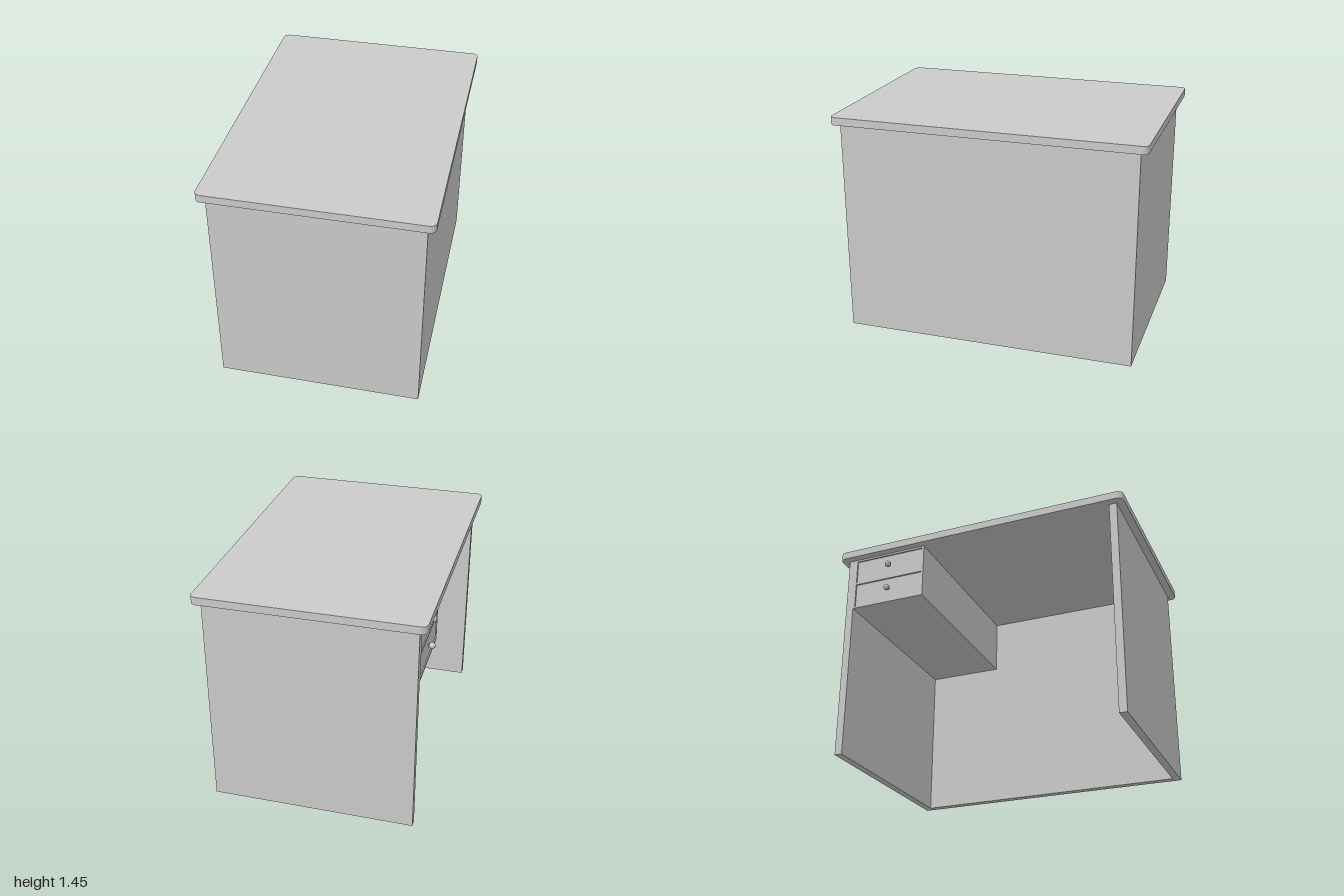
import * as THREE from 'three';

const grey = new THREE.MeshStandardMaterial({ color: 0xcccccc });

function add(group, name, geometry, x = 0, y = 0, z = 0) {
  const mesh = new THREE.Mesh(geometry, grey);
  mesh.name = name;
  mesh.position.set(x, y, z);
  group.add(mesh);
  return mesh;
}

// Box given by its minimum and maximum corners
function addBox(group, name, [x0, y0, z0], [x1, y1, z1]) {
  return add(group, name, new THREE.BoxGeometry(x1 - x0, y1 - y0, z1 - z0),
    (x0 + x1) / 2, (y0 + y1) / 2, (z0 + z1) / 2);
}

// Rectangle with quarter-circle corners
function roundedRect(w, h, r) {
  const s = new THREE.Shape();
  const x = w / 2 - r, y = h / 2 - r;
  s.absarc(x, y, r, 0, Math.PI / 2);
  s.absarc(-x, y, r, Math.PI / 2, Math.PI);
  s.absarc(-x, -y, r, Math.PI, Math.PI * 1.5);
  s.absarc(x, -y, r, Math.PI * 1.5, Math.PI * 2);
  s.closePath();
  return s;
}

export function createModel() {
  const desk = new THREE.Group();
  desk.name = 'desk';

  // Desktop with rounded corners
  const top = new THREE.ExtrudeGeometry(roundedRect(1.4, 2, 0.04),
    { depth: 0.05, bevelEnabled: false, curveSegments: 8 });
  top.rotateX(-Math.PI / 2);
  add(desk, 'desktop', top, 0, 1.4, 0);

  // Two end panels and the modesty panel between them
  for (const side of [-1, 1]) {
    add(desk, side > 0 ? 'frontEndPanel' : 'backEndPanel',
      new THREE.BoxGeometry(1.3, 1.4, 0.05), 0, 0.7, side * 0.925);
  }
  addBox(desk, 'modestyPanel', [0.6, 0, -0.9], [0.65, 1.4, 0.9]);

  // Drawer cabinet hung under the top, opening towards -x
  const cabinet = new THREE.Group();
  cabinet.name = 'drawerCabinet';
  desk.add(cabinet);
  const z0 = -0.9, z1 = -0.385, y0 = 1.03, y1 = 1.4, face = -0.65, t = 0.012;
  const zMid = (z0 + z1) / 2, yMid = (y0 + y1) / 2;
  addBox(cabinet, 'cabinetBody', [face + 0.02, y0, z0], [0.6, y1, z1]);
  addBox(cabinet, 'cabinetFloor', [face, y0, z0], [face + 0.02, y0 + t, z1]);
  addBox(cabinet, 'cabinetRail', [face, yMid - t / 2, z0], [face + 0.02, yMid + t / 2, z1]);
  addBox(cabinet, 'cabinetTopRail', [face, y1 - t, z0], [face + 0.02, y1, z1]);
  addBox(cabinet, 'cabinetInnerSide', [face, y0, z0], [face + 0.02, y1, z0 + t]);
  addBox(cabinet, 'cabinetOuterSide', [face, y0, z1 - t], [face + 0.02, y1, z1]);

  // Round knob on a short neck, turned about its axis
  const profile = [new THREE.Vector2(0.009, -0.012), new THREE.Vector2(0.009, 0.006)];
  for (let i = 0; i <= 10; i++) {
    const a = -1.1 + (i / 10) * (Math.PI / 2 + 1.1);
    profile.push(new THREE.Vector2(Math.max(0, 0.02 * Math.cos(a)), 0.019 + 0.02 * Math.sin(a)));
  }
  const knob = new THREE.LatheGeometry(profile, 20);
  knob.rotateZ(Math.PI / 2);

  // Slightly recessed drawer fronts
  [[y0 + t, yMid - t / 2, 1.13], [yMid + t / 2, y1 - t, 1.31]].forEach(([low, high, knobY]) => {
    const drawer = new THREE.Group();
    drawer.name = 'drawer';
    cabinet.add(drawer);
    const gap = 0.003;
    addBox(drawer, 'drawerFront', [face + 0.006, low + gap, z0 + t + gap],
      [face + 0.021, high - gap, z1 - t - gap]);
    add(drawer, 'drawerKnob', knob, face, knobY, zMid);
  });

  return desk;
}
